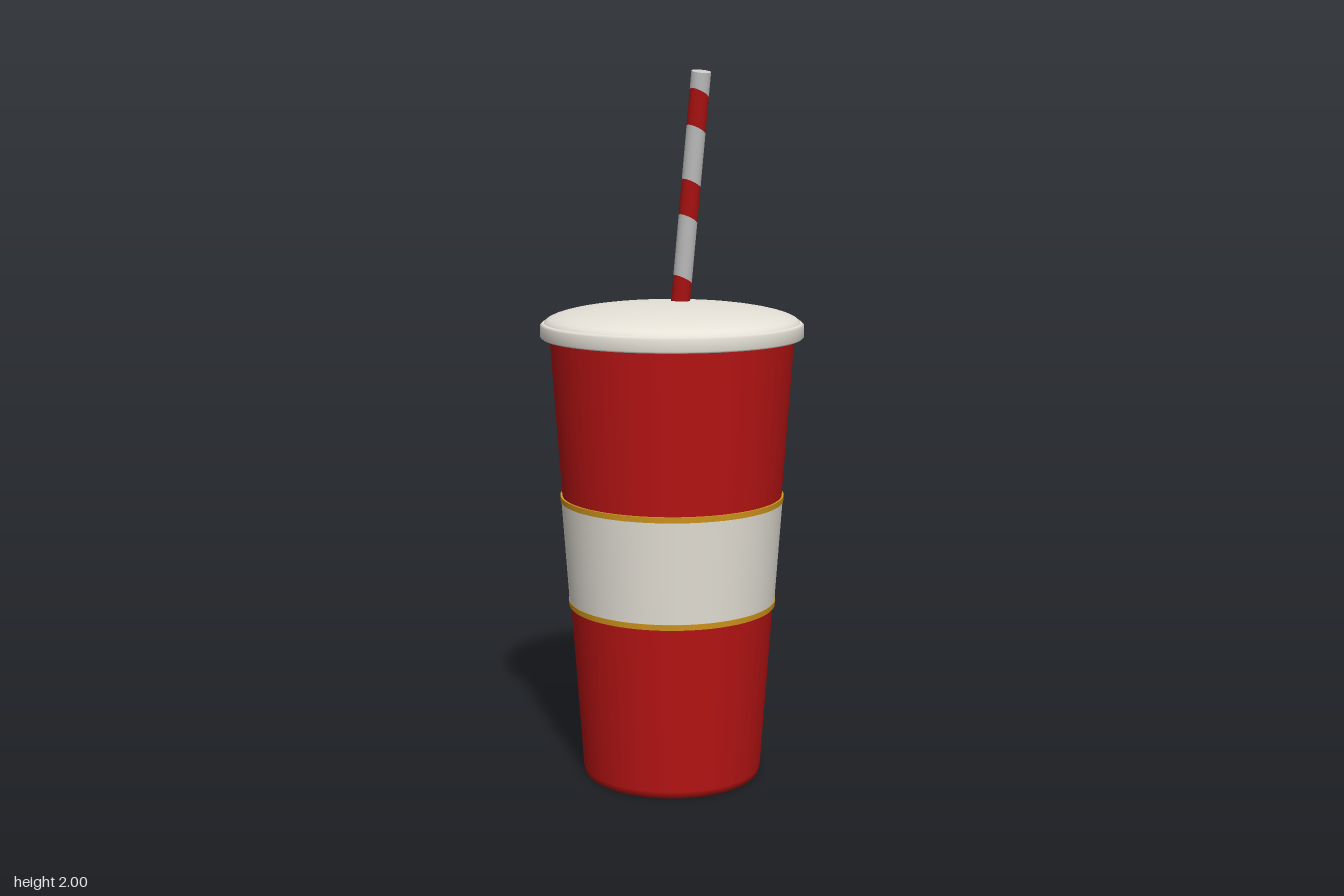
import * as THREE from 'three';

const RED = 0xb81414, CREAM = 0xe6e2d8, GOLD = 0xd0961c, WHITE = 0xeeeeee;

function part(name, geometry, color) {
  const mesh = new THREE.Mesh(geometry, new THREE.MeshStandardMaterial({ color }));
  mesh.name = name;
  return mesh;
}

const lathe = (points) =>
  new THREE.LatheGeometry(points.map(([r, y]) => new THREE.Vector2(r, y)), 64);

// Radius of the tapered cup wall at a height
const cupRadius = (y) => 0.255 + 0.07 * y;

// Thin sleeve hugging the cup wall between two heights
const sleeve = (y0, y1, gap) => lathe([
  [cupRadius(y0), y0], [cupRadius(y0) + gap, y0], [cupRadius(y0) + gap, y0],
  [cupRadius(y1) + gap, y1], [cupRadius(y1) + gap, y1], [cupRadius(y1), y1],
]);

// Straw piece whose ends are slanted, so that stripes run diagonally
function strawPiece(y0, y1, slant0, slant1) {
  const r = 0.027;
  const geometry = new THREE.CylinderGeometry(r, r, 1, 24, 1, false);
  const p = geometry.attributes.position;
  for (let i = 0; i < p.count; i++) {
    const top = p.getY(i) > 0;
    p.setY(i, (top ? y1 : y0) - p.getX(i) * (top ? slant1 : slant0));
  }
  return geometry;
}

export function createModel() {
  const model = new THREE.Group();
  model.name = 'drinkCup';

  // Cup body with closed bottom
  model.add(part('cup', lathe([
    [0, 0], [0.252, 0], [0.257, 0.02], [cupRadius(0.6), 0.6], [cupRadius(1.28), 1.28],
  ]), RED));

  // Label band with gold edges
  model.add(part('labelBand', sleeve(0.51, 0.805, 0.004), CREAM));
  model.add(part('lowerGoldEdge', sleeve(0.497, 0.513, 0.006), GOLD));
  model.add(part('upperGoldEdge', sleeve(0.801, 0.817, 0.006), GOLD));

  // Lid rim and shallow dome
  model.add(part('lidRim', lathe([
    [0.33, 1.265], [0.364, 1.265], [0.37, 1.27], [0.37, 1.302], [0.364, 1.308], [0.345, 1.31],
  ]), CREAM));
  const dome = [];
  for (let i = 0; i <= 12; i++) {
    const a = (i / 12) * Math.PI / 2;
    dome.push([0.36 * Math.cos(a), 1.305 + 0.058 * Math.sin(a)]);
  }
  dome[12][0] = 0;
  model.add(part('lidDome', lathe(dome), CREAM));

  // Leaning straw, built from alternating striped pieces
  const base = new THREE.Vector3(0.062, 1.34, -0.017);
  const tip = new THREE.Vector3(-0.004, 1.996, 0.1);
  const axis = tip.clone().sub(base);
  const length = axis.length();
  const straw = new THREE.Group();
  straw.name = 'straw';
  const cuts = [0, 0.085, 0.26, 0.36, 0.51, 0.61, length];
  for (let i = 0; i < cuts.length - 1; i++) {
    const red = i % 2 === 0;
    straw.add(part(red ? 'redStripe' : 'whiteStripe', strawPiece(
      cuts[i], cuts[i + 1], i === 0 ? 0 : 0.6, i === cuts.length - 2 ? 0 : 0.6,
    ), red ? RED : WHITE));
  }
  straw.position.copy(base);
  straw.quaternion.setFromUnitVectors(new THREE.Vector3(0, 1, 0), axis.normalize());
  model.add(straw);

  return model;
}
